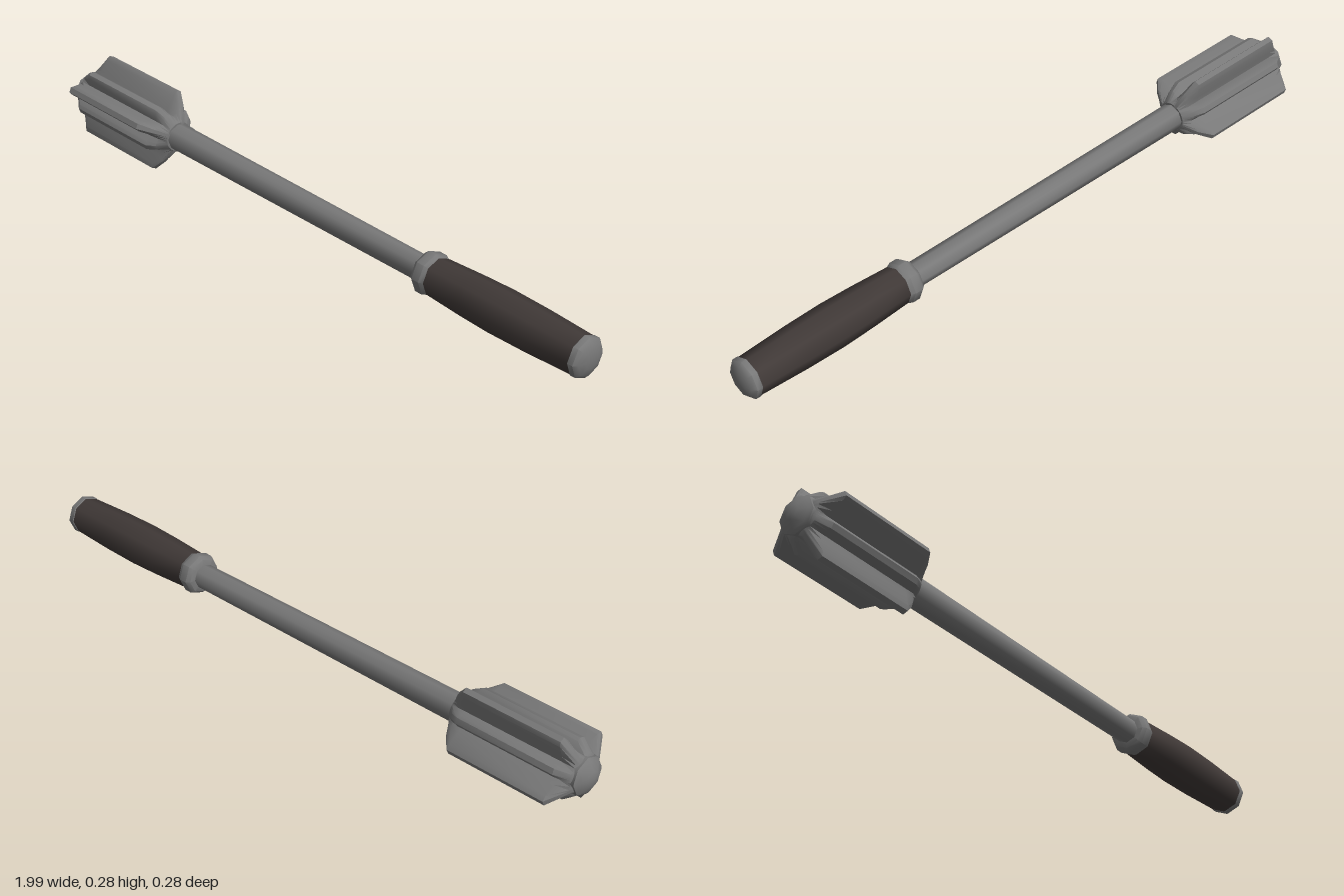
import * as THREE from 'three';
import { toCreasedNormals } from 'three/addons/utils/BufferGeometryUtils.js';

const steel = new THREE.MeshStandardMaterial({ color: 0x787878 });
steel.name = 'steel grey';
const leather = new THREE.MeshStandardMaterial({ color: 0x403937 });
leather.name = 'dark leather';

// Eight-sided turned part along x; profile is [x, radius] pairs with rising x
function turned(name, profile, material, crease = 0.85) {
  const points = profile.map(([x, r]) => new THREE.Vector2(r, x));
  const geometry = new THREE.LatheGeometry(points, 8).rotateZ(-Math.PI / 2);
  const mesh = new THREE.Mesh(toCreasedNormals(geometry, crease), material);
  mesh.name = name;
  return mesh;
}

// Star section of the head: large and small flanges alternate, as [angle, radius]
function starSection() {
  const section = [];
  for (let k = 0; k < 8; k++) {
    const middle = Math.PI / 8 + k * Math.PI / 4;
    const large = k % 2 === 1;
    const tip = large ? 0.121 : 0.084;
    const outline = large
      ? [[-0.019, 0.072], [-0.014, tip - 0.014], [-0.008, tip], [0.008, tip], [0.014, tip - 0.014], [0.019, 0.072]]
      : [[-0.015, tip - 0.009], [-0.008, tip], [0.008, tip], [0.015, tip - 0.009]];
    section.push([middle - Math.PI / 8, 0.058]);
    for (const [w, r] of outline) section.push([middle + Math.atan2(w, r), Math.hypot(w, r)]);
  }
  return section;
}

// Flanged head: the star is swept along x and drawn in to a round at both ends
function flangedHead() {
  const section = starSection();
  // x, round radius, share of the full star
  const stations = [[-0.975, 0.045, 0], [-0.968, 0.053, 0.15], [-0.932, 0.058, 1],
    [-0.616, 0.058, 1], [-0.585, 0.053, 0.5], [-0.56, 0.044, 0]];
  const n = section.length;
  const positions = [], index = [];
  stations.forEach(([x, round, share], i) => {
    section.forEach(([a, r], j) => {
      const radius = round + (r - round) * share;
      positions.push(x, radius * Math.sin(a), -radius * Math.cos(a));
      if (i < stations.length - 1) {
        const p = i * n + j, q = i * n + (j + 1) % n;
        index.push(p, q, q + n, p, q + n, p + n);
      }
    });
  });
  // End caps
  const back = positions.length / 3;
  positions.push(stations[0][0], 0, 0, stations[stations.length - 1][0], 0, 0);
  const last = (stations.length - 1) * n;
  for (let j = 0; j < n; j++) {
    const k = (j + 1) % n;
    index.push(back, k, j, back + 1, last + j, last + k);
  }
  const geometry = new THREE.BufferGeometry();
  geometry.setAttribute('position', new THREE.Float32BufferAttribute(positions, 3));
  geometry.setIndex(index);
  const mesh = new THREE.Mesh(toCreasedNormals(geometry, 0.6), steel);
  mesh.name = 'flangedHead';
  return mesh;
}

export function createModel() {
  const model = new THREE.Group();
  model.name = 'mace';

  model.add(
    flangedHead(),
    turned('headCap', [[-1.0, 0], [-0.997, 0.022], [-0.985, 0.046], [-0.978, 0.055], [-0.962, 0.055], [-0.955, 0.04]], steel),
    turned('shaft', [[-0.58, 0.04], [0.45, 0.036]], steel),
    turned('collar', [[0.43, 0.034], [0.433, 0.052], [0.444, 0.061], [0.468, 0.061], [0.48, 0.055], [0.482, 0.03]], steel, 0.8),
    turned('grip', [[0.478, 0.03], [0.48, 0.055], [0.6, 0.061], [0.7, 0.064], [0.82, 0.062], [0.967, 0.056]], leather),
    turned('pommel', [[0.96, 0.05], [0.966, 0.058], [0.982, 0.058], [0.992, 0.046], [0.998, 0.025], [1.0, 0]], steel),
  );

  // Lay the whole weapon on its slight diagonal
  const direction = new THREE.Vector3(1, -0.055, 0.056).normalize();
  model.quaternion.setFromUnitVectors(new THREE.Vector3(1, 0, 0), direction);
  model.position.set(0, 0.115, 0.027);
  const group = new THREE.Group();
  group.add(model);
  return group;
}
